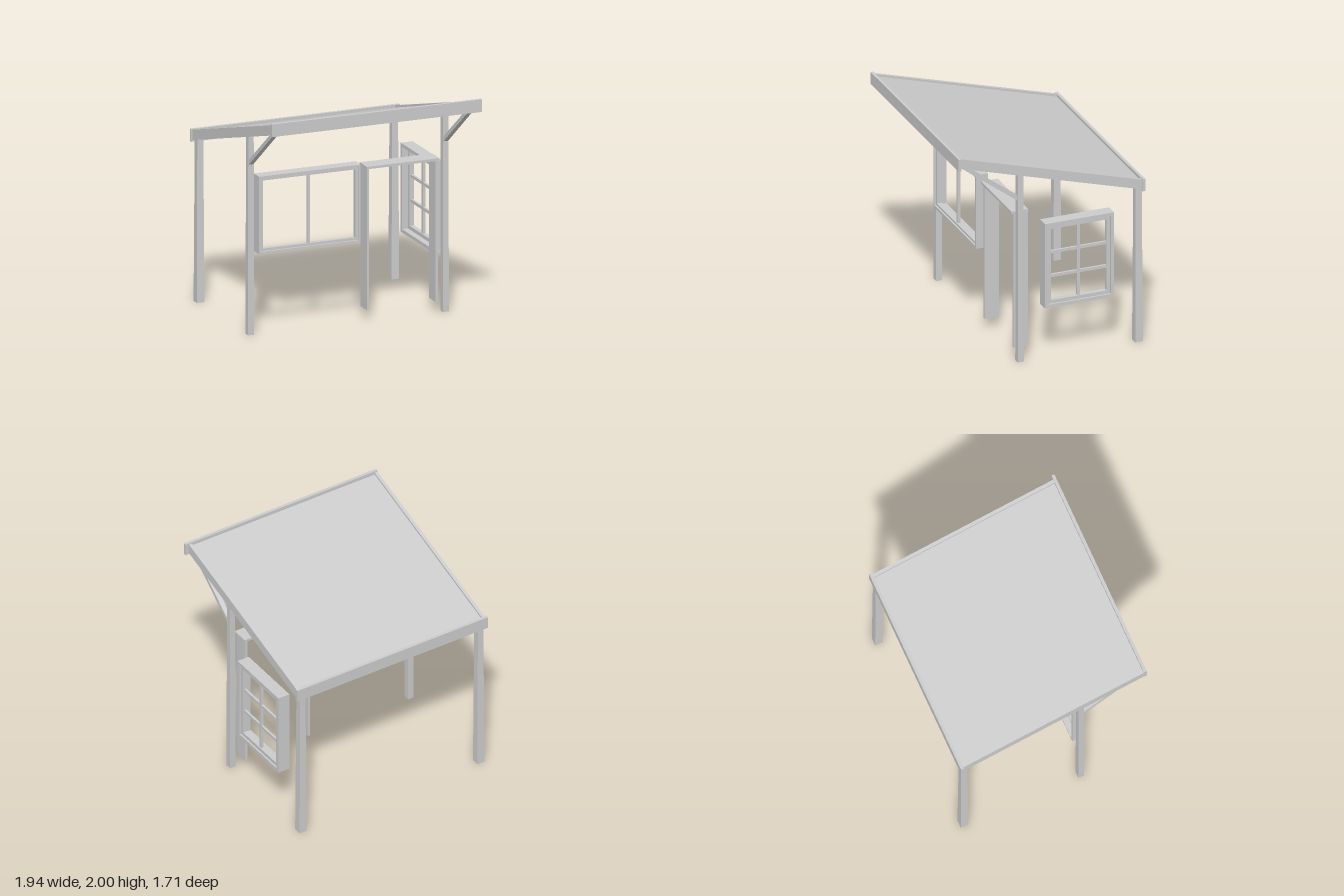
import * as THREE from 'three';

const material = new THREE.MeshStandardMaterial({ color: 0xcccccc, flatShading: true });

export function createModel() {
  const model = new THREE.Group();

  const add = (name, geometry, parent = model) => {
    const mesh = new THREE.Mesh(geometry, material);
    mesh.name = name;
    parent.add(mesh);
    return mesh;
  };

  // Box given by its limits on each axis
  const box = (name, x0, x1, y0, y1, z0, z1, parent) => add(name,
    new THREE.BoxGeometry(x1 - x0, y1 - y0, z1 - z0)
      .translate((x0 + x1) / 2, (y0 + y1) / 2, (z0 + z1) / 2), parent);

  // Side profile of [z, y] corners, extruded from x0 to x1
  const profile = (name, points, x0, x1) => add(name,
    new THREE.ExtrudeGeometry(new THREE.Shape(points.map(p => new THREE.Vector2(...p))),
      { depth: x1 - x0, bevelEnabled: false }).rotateY(-Math.PI / 2).translate(x1, 0, 0));

  // Rectangular ring in the xy plane, from z0 to z1
  const ring = (name, w, h, t, z0, z1, parent) => {
    const rect = (S, a, b) => new S([[-a, -b], [a, -b], [a, b], [-a, b]].map(p => new THREE.Vector2(...p)));
    const shape = rect(THREE.Shape, w / 2, h / 2);
    shape.holes.push(rect(THREE.Path, w / 2 - t, h / 2 - t));
    add(name, new THREE.ExtrudeGeometry(shape, { depth: z1 - z0, bevelEnabled: false })
      .translate(0, 0, z0), parent);
  };

  // Window facing +z: deep casing, recessed sash and glazing bars
  const makeWindow = (name, w, h, casing, sash, bar, columns, rows) => {
    const g = new THREE.Group();
    g.name = name;
    const depth = 0.11, front = depth / 2 - 0.015, back = front - 0.04;
    ring('casing', w, h, casing, -depth / 2, depth / 2, g);
    const iw = w - 2 * casing, ih = h - 2 * casing;
    ring('sash', iw, ih, sash, back, front, g);
    const ow = iw - 2 * sash, oh = ih - 2 * sash;
    for (let i = 1; i < columns; i++) {
      const x = -ow / 2 + ow * i / columns;
      box('verticalBar', x - bar / 2, x + bar / 2, -oh / 2, oh / 2, back + 0.008, front - 0.008, g);
    }
    for (let i = 1; i < rows; i++) {
      const y = -oh / 2 + oh * i / rows;
      box('horizontalBar', -ow / 2, ow / 2, y - bar / 2, y + bar / 2, back + 0.01, front - 0.01, g);
    }
    model.add(g);
    return g;
  };

  // Tapered square post, slightly wider at the foot
  const post = (name, x, z, bottom, top, height) => {
    const g = new THREE.BoxGeometry(1, height, 1).translate(0, height / 2, 0);
    const p = g.attributes.position;
    for (let i = 0; i < p.count; i++) {
      const s = p.getY(i) > 0.01 ? top : bottom;
      p.setXYZ(i, x + p.getX(i) * s, p.getY(i), z + p.getZ(i) * s);
    }
    add(name, g);
  };

  // Sloping roof: deck held inside two rails and two fascia boards
  profile('roofDeck', [[-0.835, 1.46], [0.835, 1.945], [0.835, 1.97], [-0.835, 1.485]], -0.935, 0.905);
  const rail = [[-0.84, 1.412], [0.84, 1.9], [0.84, 1.99], [-0.84, 1.502]];
  profile('rightRail', rail, -0.96, -0.93);
  profile('leftRail', rail, 0.9, 0.93);
  box('frontFascia', -0.96, 0.965, 1.89, 2, 0.83, 0.857);
  box('backFascia', -0.973, 0.94, 1.4, 1.51, -0.857, -0.83);

  // Posts and front braces on both sides
  for (const [side, x] of [['right', -0.907], ['left', 0.876]]) {
    post(side + 'FrontPost', x, 0.265, 0.055, 0.05, 1.75);
    post(side + 'BackPost', x - 0.002, -0.811, 0.07, 0.055, 1.43);
    profile(side + 'Brace',
      [[0.285, 1.49], [0.82, 1.895], [0.74, 1.875], [0.285, 1.535]], x - 0.02, x + 0.022);
  }

  // Wide front window
  makeWindow('frontWindow', 0.93, 0.68, 0.02, 0.022, 0.025, 2, 1)
    .position.set(-0.385, 1.05, 0.275);

  // Six-pane window in the left side wall
  const sideWindow = makeWindow('sideWindow', 0.63, 0.78, 0.03, 0.032, 0.026, 2, 3);
  sideWindow.rotation.y = Math.PI / 2;
  sideWindow.position.set(0.888, 0.865, -0.255);

  // Open door frame
  box('doorJambRight', 0.153, 0.175, 0.095, 1.335, 0.157, 0.29);
  box('doorJambLeft', 0.782, 0.805, 0.095, 1.335, 0.157, 0.29);
  box('doorHeader', 0.145, 0.81, 1.335, 1.357, 0.157, 0.31);

  return model;
}
